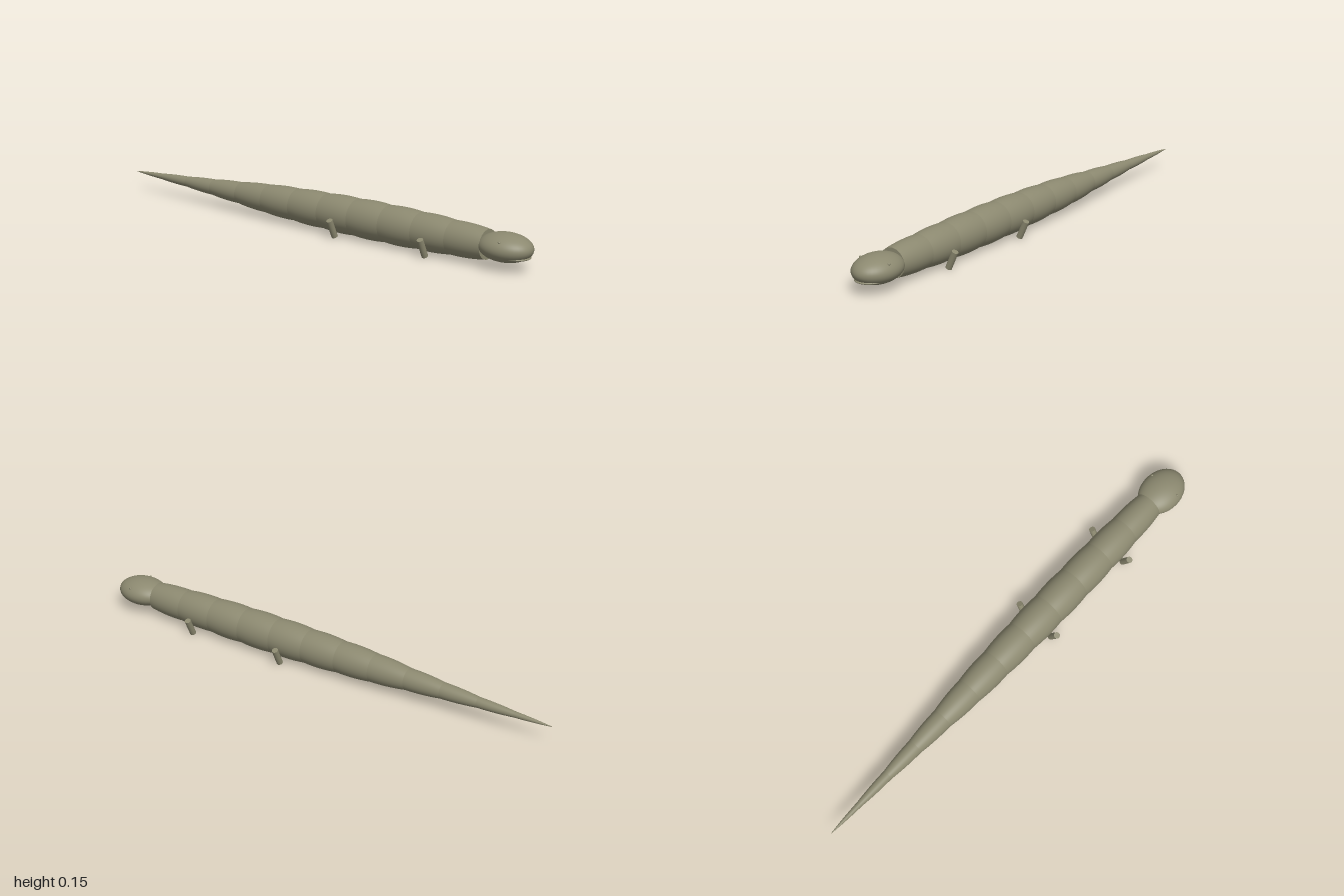
import * as THREE from 'three';

export function createModel() {
  const group = new THREE.Group();
  const skin = new THREE.MeshStandardMaterial({ color: 0x8c8970 });
  skin.name = 'olive skin';
  const add = (name, geometry, x, y, z) => {
    const mesh = new THREE.Mesh(geometry, skin);
    mesh.name = name;
    mesh.position.set(x, y, z);
    group.add(mesh);
    return mesh;
  };
  const ellipsoid = (name, rx, ry, rz, x, y, z) =>
    add(name, new THREE.SphereGeometry(1, 40, 28), x, y, z).scale.set(rx, ry, rz);

  // Body and tail: bulging segments, with a crease where they meet
  const creases = [0.056, 0.064, 0.069, 0.071, 0.071, 0.068, 0.063, 0.056, 0.043, 0.032, 0.021, 0.012, 0.001];
  const length = 0.151, neck = 0.815;
  for (let i = 0; i < creases.length - 1; i++) {
    const tail = creases[i + 1], head = creases[i];
    const bulge = 0.001 + 0.045 * (head + tail) / 2;
    const points = [];
    if (i === creases.length - 2) points.push(new THREE.Vector2(0, 0));
    for (let j = 0; j <= 12; j++) {
      const t = j / 12;
      points.push(new THREE.Vector2(tail + (head - tail) * t + bulge * 4 * t * (1 - t), t * length));
    }
    const segment = new THREE.LatheGeometry(points, 40).rotateX(Math.PI / 2);
    add('bodySegment', segment, 0, 0.079, neck - (i + 1) * length);
  }
  // Flat end of the neck behind the head
  add('neckEnd', new THREE.CircleGeometry(creases[0], 40), 0, 0.079, neck);

  // Head with a protruding lower lip
  ellipsoid('head', 0.082, 0.053, 0.108, 0, 0.083, 0.892);
  ellipsoid('lowerJaw', 0.06, 0.011, 0.072, 0, 0.055, 0.92);

  // Eyes and splayed legs, mirrored
  for (const side of [1, -1]) {
    ellipsoid('eye', 0.005, 0.005, 0.005, side * 0.065, 0.114, 0.908);
    for (const [name, z] of [['frontLeg', 0.585], ['backLeg', 0.155]]) {
      const leg = add(name, new THREE.CylinderGeometry(0.0125, 0.0125, 0.075, 20), side * 0.0825, 0.041, z);
      leg.rotation.z = -side * 0.43;
    }
  }
  return group;
}
